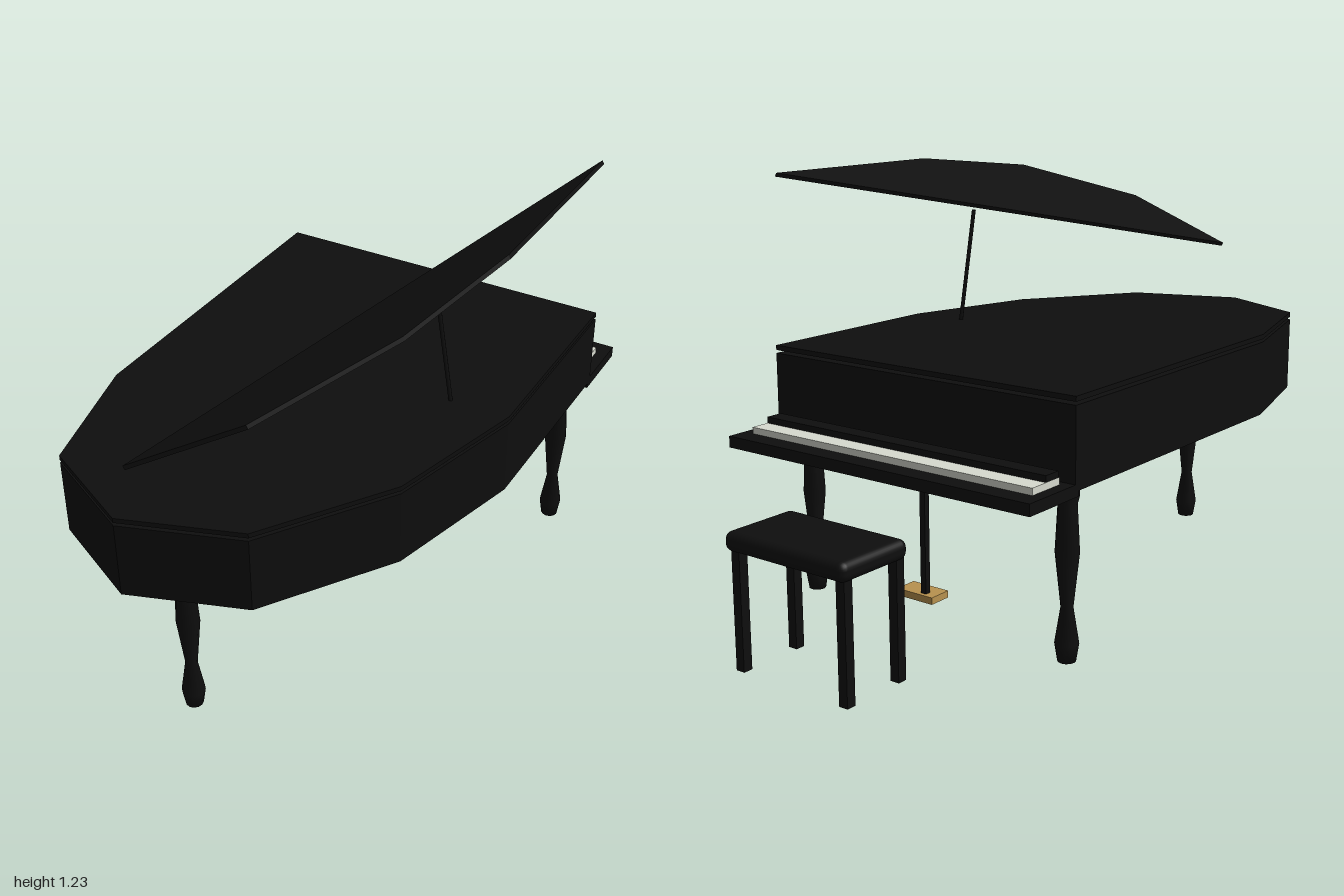
import * as THREE from 'three';
import { RoundedBoxGeometry } from 'three/addons/geometries/RoundedBoxGeometry.js';

export function createModel() {
  const model = new THREE.Group();
  const material = (name, color) => {
    const m = new THREE.MeshStandardMaterial({ color });
    m.name = name;
    return m;
  };
  const black = material('black lacquer', 0x0e0e0e);
  const ivory = material('ivory', 0xd8dbd0);
  const brass = material('brass', 0xb8924f);

  const add = (name, geometry, mat = black) => {
    const mesh = new THREE.Mesh(geometry, mat);
    mesh.name = name;
    model.add(mesh);
    return mesh;
  };
  // Box given by its limits on each axis
  const box = (name, [x0, x1], [y0, y1], [z0, z1], mat) => {
    const mesh = add(name, new THREE.BoxGeometry(x1 - x0, y1 - y0, z1 - z0), mat);
    mesh.position.set((x0 + x1) / 2, (y0 + y1) / 2, (z0 + z1) / 2);
    return mesh;
  };
  // Slab with an outline in x and z, hanging down from its top face
  const slab = (name, outline, thickness) => {
    const shape = new THREE.Shape(outline.map(([x, z]) => new THREE.Vector2(x, z)));
    const g = new THREE.ExtrudeGeometry(shape, { depth: thickness, bevelEnabled: false });
    return add(name, g.rotateX(Math.PI / 2));
  };

  // Case and the flat cover floating just above it
  const outline = [[-0.522, -0.49], [-0.522, 0.48], [-0.42, 0.857], [-0.143, 0.997],
    [0.178, 0.885], [0.412, 0.54], [0.52, 0.13], [0.52, -0.49]];
  slab('case', outline, 0.222).position.y = 0.712;
  slab('cover', outline, 0.014).position.y = 0.735;

  // Raised lid, tilted along its long straight edge
  const tilt = Math.atan(0.53);
  const lidOutline = [[-0.09, 1], [0.195, 0.895], [0.413, 0.55], [0.494, 0.14], [0.494, -0.49]];
  const lid = slab('raisedLid', lidOutline.map(([x, z]) => [(x + 0.09) / Math.cos(tilt), z]), 0.012);
  lid.position.set(-0.09, 0.916, 0);
  lid.rotation.z = tilt;

  // Prop stick
  const foot = new THREE.Vector3(0.348, 0.73, 0.135);
  const head = new THREE.Vector3(0.293, 1.08, 0.135);
  const along = head.clone().sub(foot);
  const prop = add('propStick', new THREE.CylinderGeometry(0.006, 0.006, along.length(), 8));
  prop.position.copy(foot).add(head).multiplyScalar(0.5);
  prop.quaternion.setFromUnitVectors(new THREE.Vector3(0, 1, 0), along.normalize());

  // Keyboard
  box('keyBed', [-0.522, 0.52], [0.475, 0.508], [-0.682, -0.474]);
  box('whiteKeys', [-0.488, 0.485], [0.508, 0.527], [-0.625, -0.511], ivory);
  box('blackKeys', [-0.488, 0.485], [0.527, 0.545], [-0.568, -0.516]);

  // Turned legs
  const profile = [[0, 0], [0.025, 0], [0.033, 0.05], [0.017, 0.15], [0.033, 0.3],
    [0.026, 0.43], [0.032, 0.455], [0.032, 0.492]].map(([r, y]) => new THREE.Vector2(r, y));
  for (const [name, x, z] of [['frontLeg', -0.07, 0.83], ['rightBackLeg', -0.453, -0.425], ['leftBackLeg', 0.45, -0.425]]) {
    add(name, new THREE.LatheGeometry(profile, 12)).position.set(x, 0, z);
  }

  // Pedal rod and pedal bar
  box('pedalRod', [-0.009, 0.009], [0.093, 0.49], [-0.468, -0.45]);
  box('pedalBar', [-0.04, 0.086], [0.075, 0.095], [-0.48, -0.41], brass);

  // Bench
  const seat = add('benchSeat', new RoundedBoxGeometry(0.416, 0.054, 0.24, 3, 0.022));
  seat.position.set(0, 0.352, -0.88);
  for (const x of [-0.181, 0.181]) {
    for (const z of [-0.781, -0.969]) {
      box('benchLeg', [x - 0.014, x + 0.014], [0, 0.335], [z - 0.014, z + 0.014]);
    }
  }
  return model;
}
